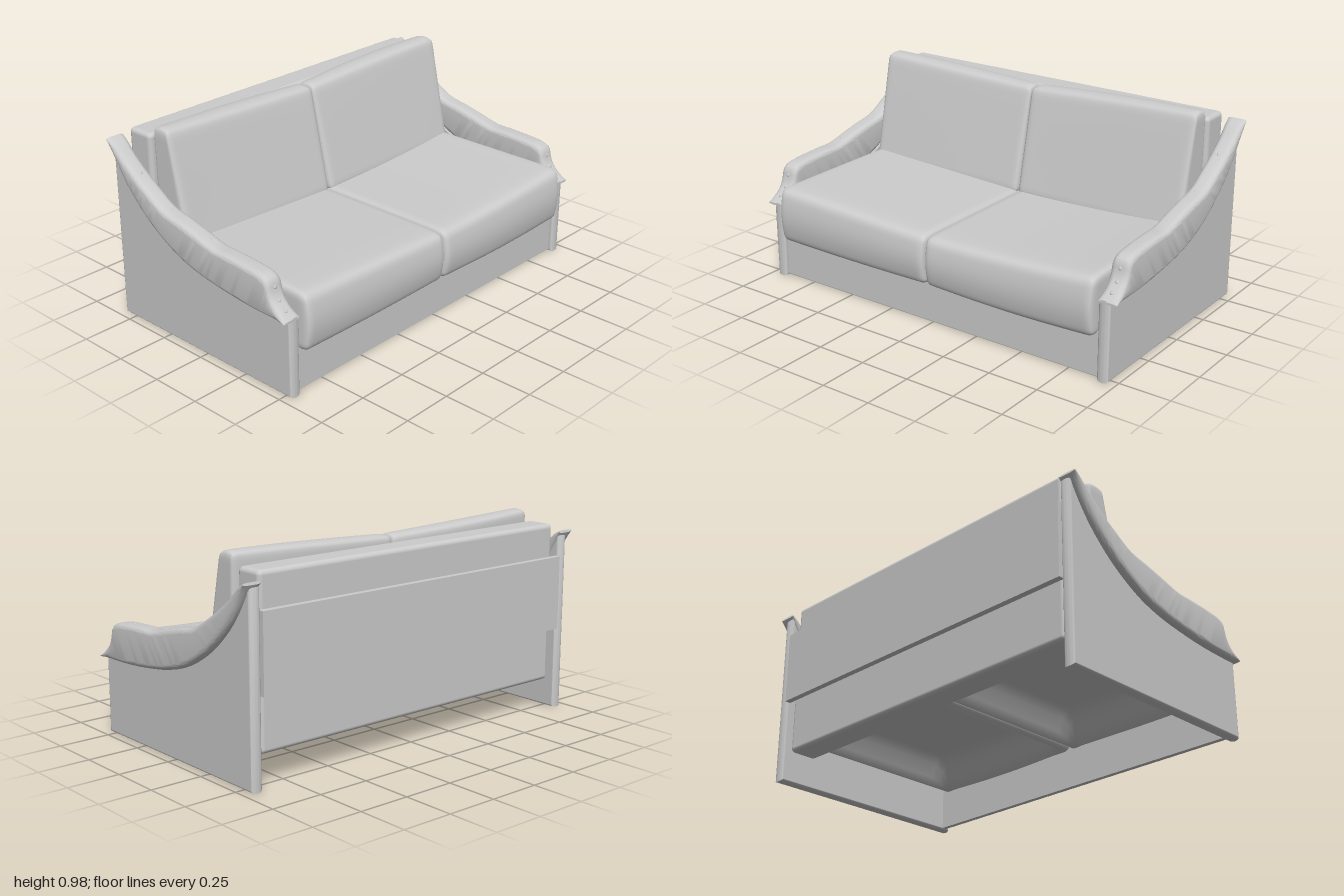
import * as THREE from 'three';
import { mergeVertices, toCreasedNormals } from 'three/addons/utils/BufferGeometryUtils.js';
import { RoundedBoxGeometry } from 'three/addons/geometries/RoundedBoxGeometry.js';

const material = new THREE.MeshStandardMaterial({ color: 0xcccccc });
const { smoothstep } = THREE.MathUtils;

function add(parent, name, geometry, x = 0, y = 0, z = 0) {
  const mesh = new THREE.Mesh(geometry, material);
  mesh.name = name;
  mesh.position.set(x, y, z);
  parent.add(mesh);
  return mesh;
}

// Soft block: a box grid, denser near its edges, rounded by radius r and then bent by a rule
function softBlock(w, h, d, r, bend) {
  let geo = new THREE.BoxGeometry(2, 2, 2, 28, 18, 24);
  geo.deleteAttribute('uv');
  geo.deleteAttribute('normal');
  geo = mergeVertices(geo, 1e-4);
  const half = new THREE.Vector3(w / 2, h / 2, d / 2);
  const limit = half.clone().subScalar(r);
  const lower = limit.clone().negate();
  const pos = geo.attributes.position;
  const p = new THREE.Vector3();
  const core = new THREE.Vector3();
  const warp = (u) => Math.sign(u) * (1 - (1 - Math.abs(u)) ** 2);
  for (let i = 0; i < pos.count; i++) {
    p.fromBufferAttribute(pos, i);
    p.set(warp(p.x), warp(p.y), warp(p.z)).multiply(half);
    core.copy(p).clamp(lower, limit);
    p.sub(core);
    if (p.lengthSq() > 0) p.setLength(r);
    p.add(core);
    bend(p);
    pos.setXYZ(i, p.x, p.y, p.z);
  }
  geo.computeVertexNormals();
  return geo;
}

// Side board: a (z, y) outline extruded across x with rounded rims and flat sides
function sideBoard(points, width, rim, inset) {
  const shape = new THREE.Shape(points);
  let geo = new THREE.ExtrudeGeometry(shape, {
    depth: width - 2 * rim, bevelThickness: rim, bevelSize: inset,
    bevelOffset: -inset, bevelSegments: 5,
  });
  geo.translate(0, 0, rim - width / 2);
  geo.rotateY(-Math.PI / 2);
  geo = toCreasedNormals(geo, 0.6);
  const { position, normal } = geo.attributes;
  for (let i = 0; i < position.count; i += 3) {
    const xs = [0, 1, 2].map((k) => position.getX(i + k));
    if (xs.every((x) => Math.abs(x) > width / 2 - 1e-5 && x * xs[0] > 0)) {
      for (let k = 0; k < 3; k++) normal.setXYZ(i + k, Math.sign(xs[0]), 0, 0);
    }
  }
  return geo;
}

// Padded arm: rounded sections spanning from the lower to the upper curve, front to back
function paddedArm(low, high, width, r) {
  const verts = [];
  const index = [];
  const steps = 6;
  const ring = 4 * (steps + 1);
  low.forEach((b, s) => {
    const span = high[s].clone().sub(b);
    const len = span.length();
    const ry = Math.min(r, len / 2);
    for (let c = 0; c < 4; c++) {
      for (let k = 0; k <= steps; k++) {
        const a = ((c + k / steps) * Math.PI) / 2;
        const x = (c === 0 || c === 3 ? 1 : -1) * (width / 2 - r) + r * Math.cos(a);
        const t = (c < 2 ? len - ry : ry) + ry * Math.sin(a);
        const q = b.clone().addScaledVector(span, t / len);
        verts.push(x, q.y, q.x);
      }
    }
  });
  for (let s = 0; s < low.length - 1; s++) {
    for (let k = 0; k < ring; k++) {
      const a = s * ring + k;
      const b = s * ring + ((k + 1) % ring);
      index.push(a, a + ring, b, b, a + ring, b + ring);
    }
  }
  const last = (low.length - 1) * ring;
  for (let k = 1; k < ring - 1; k++) {
    index.push(0, k, k + 1, last, last + k + 1, last + k);
  }
  const geo = new THREE.BufferGeometry();
  geo.setAttribute('position', new THREE.Float32BufferAttribute(verts, 3));
  geo.setIndex(index);
  return toCreasedNormals(geo, 0.7);
}

function sample(points, n) {
  return new THREE.SplineCurve(points.map(([z, y]) => new THREE.Vector2(z, y))).getSpacedPoints(n);
}

export function createModel() {
  const sofa = new THREE.Group();
  sofa.name = 'sofa';

  // Arm: sweeping lower curve and stepped upper curve, both as (z, y) from front to back
  const low = sample([[0.54, 0.37], [0.35, 0.373], [0.18, 0.387], [0, 0.415], [-0.15, 0.463],
    [-0.3, 0.55], [-0.42, 0.655], [-0.5, 0.755], [-0.574, 0.88]], 64);
  const high = sample([[0.54, 0.38], [0.5, 0.415], [0.465, 0.452], [0.448, 0.49], [0.437, 0.532],
    [0.4, 0.553], [0.32, 0.563], [0.2, 0.57], [0.11, 0.573], [0, 0.6], [-0.1, 0.624], [-0.21, 0.648],
    [-0.3, 0.698], [-0.38, 0.75], [-0.46, 0.81], [-0.53, 0.873], [-0.57, 0.892]], 64);
  const armGeo = paddedArm(low, high, 0.093, 0.028);
  const panelTop = low.slice(0, -1).map((v) => new THREE.Vector2(v.x, v.y + 0.014));
  const corner = (z, y) => new THREE.Vector2(z, y);
  const panelGeo = sideBoard(
    [corner(0.54, 0), ...panelTop, corner(-0.57, 0.86), corner(-0.57, 0)], 0.056, 0.024, 0.012);

  // Upholstery studs: [z, y, tilt from upright towards the front]
  const studs = [[0.505, 0.41, 0.82], [0.468, 0.447, 0.95], [0.445, 0.5, 1.4],
    [0.3, 0.562, 0.08], [0.05, 0.584, 0.23], [-0.2, 0.642, 0.3], [-0.4, 0.762, 0.65]];
  const studGeo = new THREE.SphereGeometry(0.009, 12, 8);
  studGeo.scale(1, 0.6, 1);

  for (const side of [-1, 1]) {
    const label = side > 0 ? 'left' : 'right';
    const arm = new THREE.Group();
    arm.name = label + 'Arm';
    add(arm, label + 'Armrest', armGeo, side * 0.9535);
    add(arm, label + 'SidePanel', panelGeo, side * 0.937);
    for (const [z, y, tilt] of studs) {
      add(arm, label + 'ArmStud', studGeo, side * 0.954, y, z).rotation.x = tilt;
    }
    sofa.add(arm);

    // Seat cushion: top rises towards the arm, front bulges, underside is hollowed behind its rim
    const seat = softBlock(0.896, 0.245, 0.955, 0.03, (p) => {
      const out = (side * p.x) / 0.896 + 0.5;
      const up = p.y / 0.245 + 0.5;
      const fore = Math.max(0, p.z / 0.4775);
      const rise = side > 0 ? 0.035 * out ** 2 : 0.035 * out;
      const hollow = 0.14 * smoothstep(0.448 - Math.abs(p.x), 0.03, 0.11) * smoothstep(0.4775 - p.z, 0.06, 0.22);
      const sag = (side > 0 ? 0.012 : 0.005) * Math.sin(Math.PI * out);
      p.y += up * rise + (1 - up) * (hollow - sag);
      p.y -= 0.012 * up * fore ** 12;
      p.z += 0.02 * Math.sin(Math.PI * up) * fore ** 4;
    });
    add(sofa, label + 'SeatCushion', seat, side * 0.45, 0.326, 0.082);

    // Back cushion: thicker at the foot, taller towards the arm, bowed at the rear
    const back = softBlock(0.896, 0.52, 0.2, 0.028, (p) => {
      const out = (side * p.x) / 0.896 + 0.5;
      const up = p.y / 0.52 + 0.5;
      const depth = 0.5 + p.z / 0.2;
      p.y += up * 0.03 * (side > 0 ? Math.sin((out * Math.PI) / 2) : out);
      p.y -= 0.012 * up ** 8 * (2 * depth - 1) ** 2;
      p.z = -0.368 + depth * (0.22 - 0.122 * up);
      p.z -= 0.018 * Math.sin(Math.PI * out) * (1 - depth);
    });
    add(sofa, label + 'BackCushion', back, side * 0.45, 0.688, 0);
  }

  // Backrest block with the panel fixed behind it
  add(sofa, 'backrest', new RoundedBoxGeometry(1.79, 0.78, 0.145, 4, 0.022), 0, 0.535, -0.468);
  add(sofa, 'backPanel', new THREE.BoxGeometry(1.815, 0.36, 0.03), 0, 0.588, -0.567);

  // Low board under the seat front
  add(sofa, 'frontBoard', new THREE.BoxGeometry(1.825, 0.21, 0.025), 0, 0.115, 0.505);

  return sofa;
}
